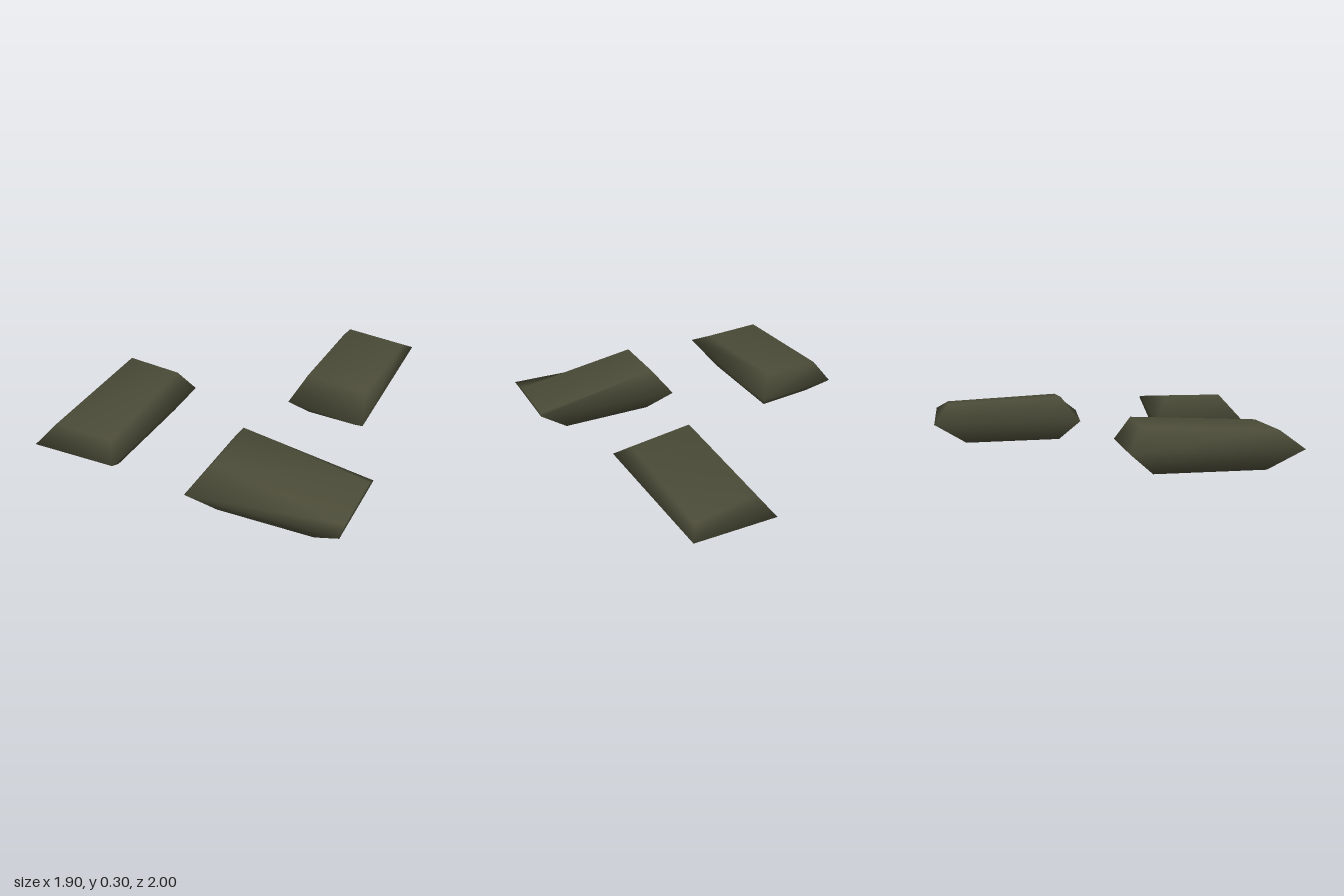
import * as THREE from 'three';

// Each stone is three four-cornered rings (bottom, rim, top).
// Corner order: front -x, front +x, back +x, back -x.
const STONES = {
  leftHandSlab: [
    [[-0.88, 0.02, 0.81], [-0.51, 0.012, 0.81], [-0.51, 0.008, 0.18], [-0.87, 0.015, 0.18]],
    [[-0.945, 0.14, 1], [-0.405, 0.17, 1], [-0.42, 0.13, 0.05], [-0.95, 0.14, 0.04]],
    [[-0.87, 0.235, 0.88], [-0.49, 0.235, 0.88], [-0.5, 0.27, 0.13], [-0.86, 0.272, 0.11]],
  ],
  wedgeSlab: [
    [[0.21, 0.022, 0.91], [0.78, 0.05, 0.9], [0.78, 0.05, 0.54], [0.21, 0.022, 0.53]],
    [[0.06, 0.14, 1], [0.95, 0.2, 1], [0.95, 0.198, 0.5], [0.06, 0.14, 0.43]],
    [[0.17, 0.3, 0.87], [0.94, 0.203, 0.9], [0.94, 0.203, 0.53], [0.17, 0.302, 0.51]],
  ],
  backSlab: [
    [[0.28, 0.01, -0.19], [0.6, 0.008, -0.19], [0.6, 0, -0.8], [0.28, 0.002, -0.8]],
    [[0.19, 0.14, -0.06], [0.7, 0.14, -0.02], [0.7, 0.18, -1], [0.19, 0.14, -1]],
    [[0.27, 0.295, -0.18], [0.65, 0.268, -0.18], [0.65, 0.23, -0.92], [0.27, 0.26, -0.91]],
  ],
};

// Closed, smooth-shaded stone skinned over its rings
function stoneGeometry(rings) {
  const n = 4;
  const last = (rings.length - 1) * n;
  const index = [0, 2, 1, 0, 3, 2, last, last + 1, last + 2, last, last + 2, last + 3];
  for (let r = 0; r < rings.length - 1; r++) {
    for (let i = 0; i < n; i++) {
      const a = r * n + i;
      const b = r * n + (i + 1) % n;
      index.push(a, b, b + n, a, b + n, a + n);
    }
  }
  const geometry = new THREE.BufferGeometry();
  geometry.setAttribute('position', new THREE.Float32BufferAttribute(rings.flat(2), 3));
  geometry.setIndex(index);
  geometry.computeVertexNormals();
  return geometry;
}

export function createModel() {
  const group = new THREE.Group();
  group.name = 'steppingStones';
  const stone = new THREE.MeshStandardMaterial({ color: 0x4b4b38 });
  stone.name = 'mossy stone';
  for (const [name, rings] of Object.entries(STONES)) {
    const mesh = new THREE.Mesh(stoneGeometry(rings), stone);
    mesh.name = name;
    group.add(mesh);
  }
  return group;
}
